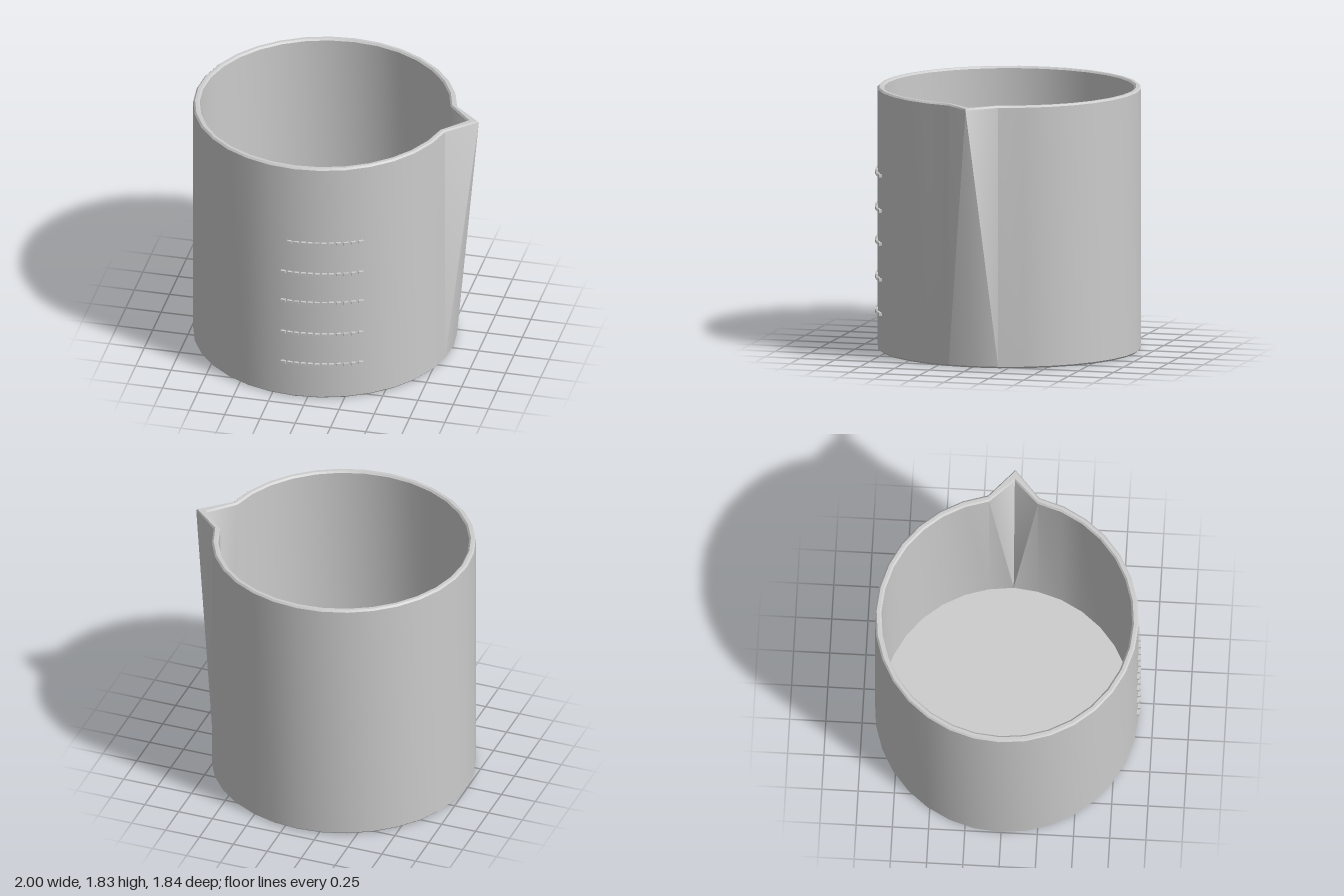
import * as THREE from 'three';
import { toCreasedNormals } from 'three/addons/utils/BufferGeometryUtils.js';

const SIDES = 32, H = 1.83, R = 0.91, RI = 0.865, CX = -0.09, CZ = -0.01;

// Closed wall profile: [radius, height, spout reach at full height]
const PROFILE = [
  [0, 0, 0], [R - 0.012, 0, 0.18], [R, 0.012, 0.18], [R, H - 0.012, 0.18],
  [R - 0.012, H, 0.18], [RI + 0.012, H, 0.145], [RI, H - 0.012, 0.145],
  [RI, 0.05, 0.145], [0, 0.05, 0],
];

// Sweep the profile round; the one corner facing +x is drawn out with height to form the spout
function cupGeometry() {
  const point = (row, i) => {
    const [r, y, reach] = PROFILE[row];
    const a = (i % SIDES) / SIDES * Math.PI * 2;
    const d = r + (i % SIDES === 0 ? reach * y / H : 0);
    return [d * Math.cos(a), y, d * Math.sin(a)];
  };
  const pos = [];
  for (let row = 0; row < PROFILE.length - 1; row++) {
    for (let i = 0; i < SIDES; i++) {
      const a = point(row, i), b = point(row, i + 1);
      const c = point(row + 1, i + 1), d = point(row + 1, i);
      // pick the diagonal so the two spout sides mirror each other
      if (PROFILE[row][0] === 0) pos.push(...a, ...d.map((_, k) => d[k]), ...c);
      else if (PROFILE[row + 1][0] === 0) pos.push(...a, ...d, ...b);
      else if (i === 0) pos.push(...a, ...d, ...b, ...b, ...d, ...c);
      else pos.push(...a, ...c, ...b, ...a, ...d, ...c);
    }
  }
  const g = new THREE.BufferGeometry();
  g.setAttribute('position', new THREE.Float32BufferAttribute(pos, 3));
  return toCreasedNormals(g, 0.61);
}

export function createModel() {
  const model = new THREE.Group();
  model.name = 'measuringCup';
  const material = new THREE.MeshStandardMaterial({ color: 0xcccccc });

  const cup = new THREE.Mesh(cupGeometry(), material);
  cup.name = 'cupWithSpout';
  cup.position.set(CX, 0, CZ);
  model.add(cup);

  // Raised dashed graduation lines, following the curve of the front wall
  const dash = new THREE.BoxGeometry(0.034, 0.021, 0.04);
  const rows = [[0.27, -0.168, 12], [0.51, -0.168, 12], [0.76, -0.168, 12], [0.99, -0.168, 12], [1.235, -0.122, 11]];
  rows.forEach(([y, start, count], n) => {
    const line = new THREE.Group();
    line.name = `graduationLine${n + 1}`;
    const step = (0.354 - start) / (count - 1);
    for (let i = 0; i < count; i++) {
      const a = Math.asin((start + i * step - CX) / R);
      const mark = new THREE.Mesh(dash, material);
      mark.name = 'dash';
      mark.position.set(CX + 0.905 * Math.sin(a), y, CZ + 0.905 * Math.cos(a));
      mark.rotation.y = a;
      line.add(mark);
    }
    model.add(line);
  });
  return model;
}
